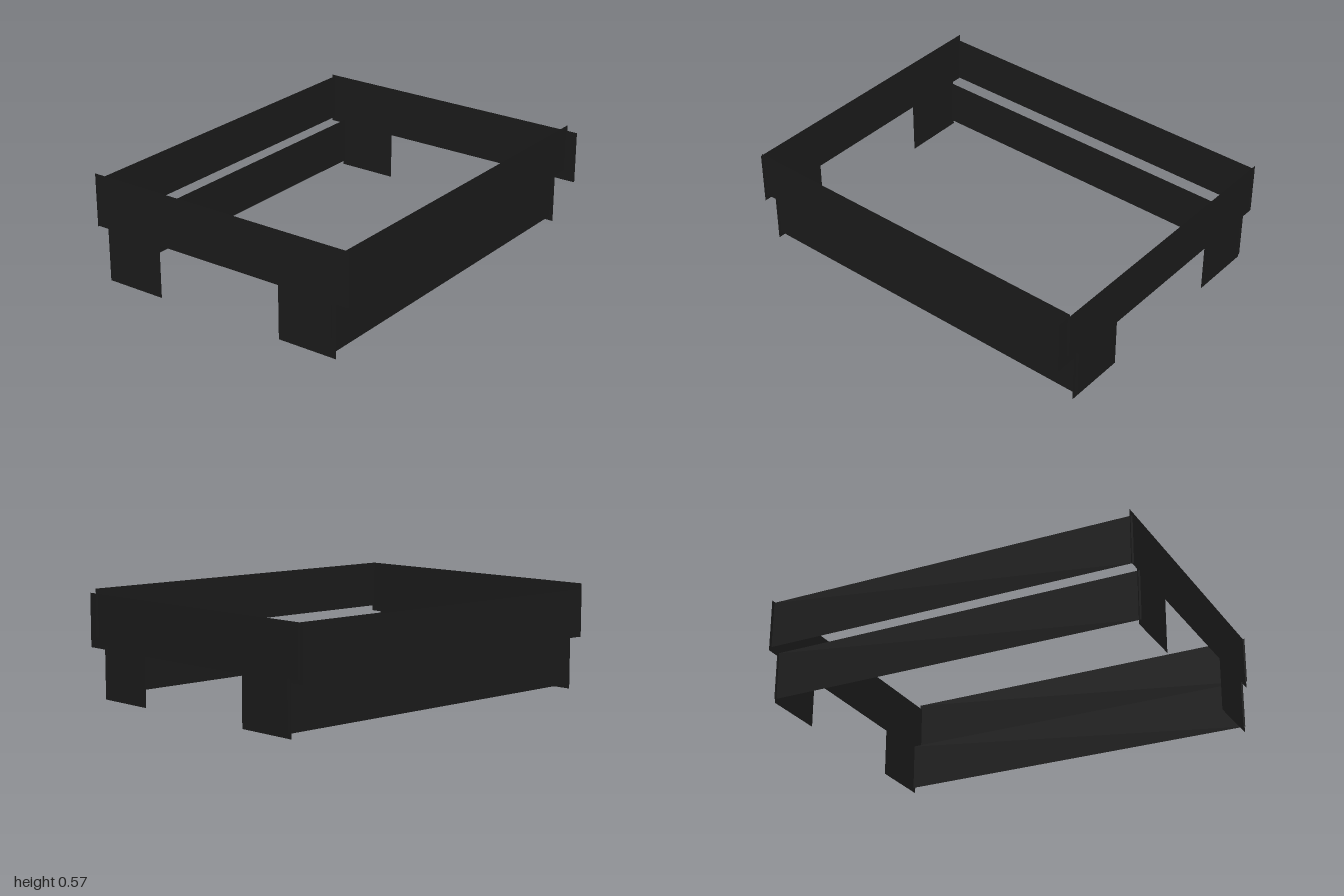
import * as THREE from 'three';

export function createModel() {
  const model = new THREE.Group();
  model.name = 'tableFrame';
  const charcoal = new THREE.MeshStandardMaterial({ color: 0x1c1c1c, side: THREE.DoubleSide });
  charcoal.name = 'charcoal';

  // Upright sheet running the full width, at depth z
  const crossPanel = (name, z, bottom, top) => {
    const mesh = new THREE.Mesh(new THREE.PlaneGeometry(2, top - bottom), charcoal);
    mesh.name = name;
    mesh.position.set(0, (bottom + top) / 2, z);
    model.add(mesh);
  };

  // Side sheet: a rail with two wide legs cut from one outline (shape x = depth)
  const sidePanel = (name, x, back, front, bottom, top) => {
    const outline = new THREE.Shape([
      [back, top], [back, bottom], [-0.73, bottom], [-0.73, 0], [-0.387, 0], [-0.387, bottom],
      [0.353, bottom], [0.353, 0], [0.69, 0], [0.69, bottom], [front, bottom], [front, top],
    ].map(([z, y]) => new THREE.Vector2(z, y)));
    const mesh = new THREE.Mesh(new THREE.ShapeGeometry(outline), charcoal);
    mesh.name = name;
    mesh.rotation.y = -Math.PI / 2; // shape x becomes z
    mesh.position.x = x;
    model.add(mesh);
  };

  // Upper rails, set just inside the ends of the sides
  crossPanel('frontUpperRail', 0.745, 0.315, 0.567);
  crossPanel('backUpperRail', -0.79, 0.284, 0.535);

  // Lower rails, set just inside the leg edges
  crossPanel('frontLowerRail', 0.67, 0.025, 0.28);
  crossPanel('backLowerRail', -0.72, 0.025, 0.28);

  // Sides with legs
  sidePanel('leftSide', 0.988, -0.81, 0.81, 0.258, 0.54);
  sidePanel('rightSide', -0.99, -0.8, 0.76, 0.284, 0.567);

  return model;
}
